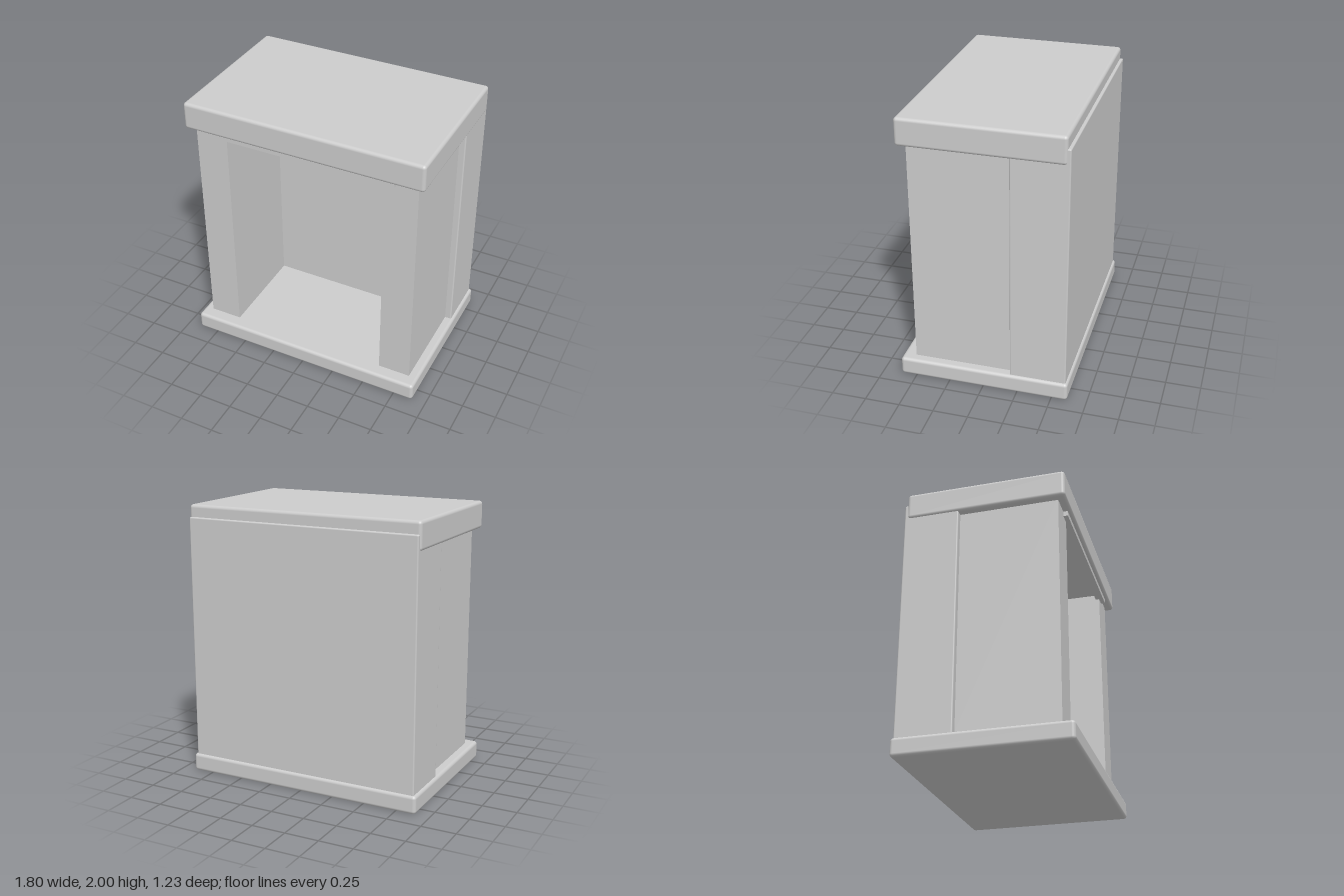
import * as THREE from 'three';
import { RoundedBoxGeometry } from 'three/addons/geometries/RoundedBoxGeometry.js';

const stone = new THREE.MeshStandardMaterial({ color: 0xcccccc });
stone.name = 'paleGreyStone';

// Block given by its minimum and maximum corners, with optional rounded edges
function block(name, [x0, y0, z0], [x1, y1, z1], radius = 0) {
  const size = [x1 - x0, y1 - y0, z1 - z0];
  const geometry = radius
    ? new RoundedBoxGeometry(...size, 3, radius)
    : new THREE.BoxGeometry(...size);
  const mesh = new THREE.Mesh(geometry, stone);
  mesh.name = name;
  mesh.position.set((x0 + x1) / 2, (y0 + y1) / 2, (z0 + z1) / 2);
  return mesh;
}

export function createModel() {
  const model = new THREE.Group();
  model.name = 'fireplaceSurround';

  // Hearth slab and overhanging mantel
  model.add(block('hearthSlab', [-0.9, 0, -0.614], [0.9, 0.133, 0.614], 0.024));
  model.add(block('mantelSlab', [-0.89, 1.8, -0.577], [0.89, 2, 0.577], 0.024));

  // Chimney block behind the opening, rising partway up the back of the mantel
  model.add(block('backBlock', [-0.88, 0.12, -0.598], [0.88, 1.912, -0.195], 0.01));

  // Pillars either side of the opening
  for (const side of [-1, 1]) {
    const pillar = block(side > 0 ? 'leftPillar' : 'rightPillar',
      [0.593, 0.12, -0.21], [0.832, 1.82, 0.518]);
    pillar.position.x *= side;
    model.add(pillar);
  }

  // Thin trim strip beneath the mantel's front edge
  model.add(block('trimStrip', [-0.678, 1.763, 0.49], [0.674, 1.81, 0.55]));

  return model;
}
